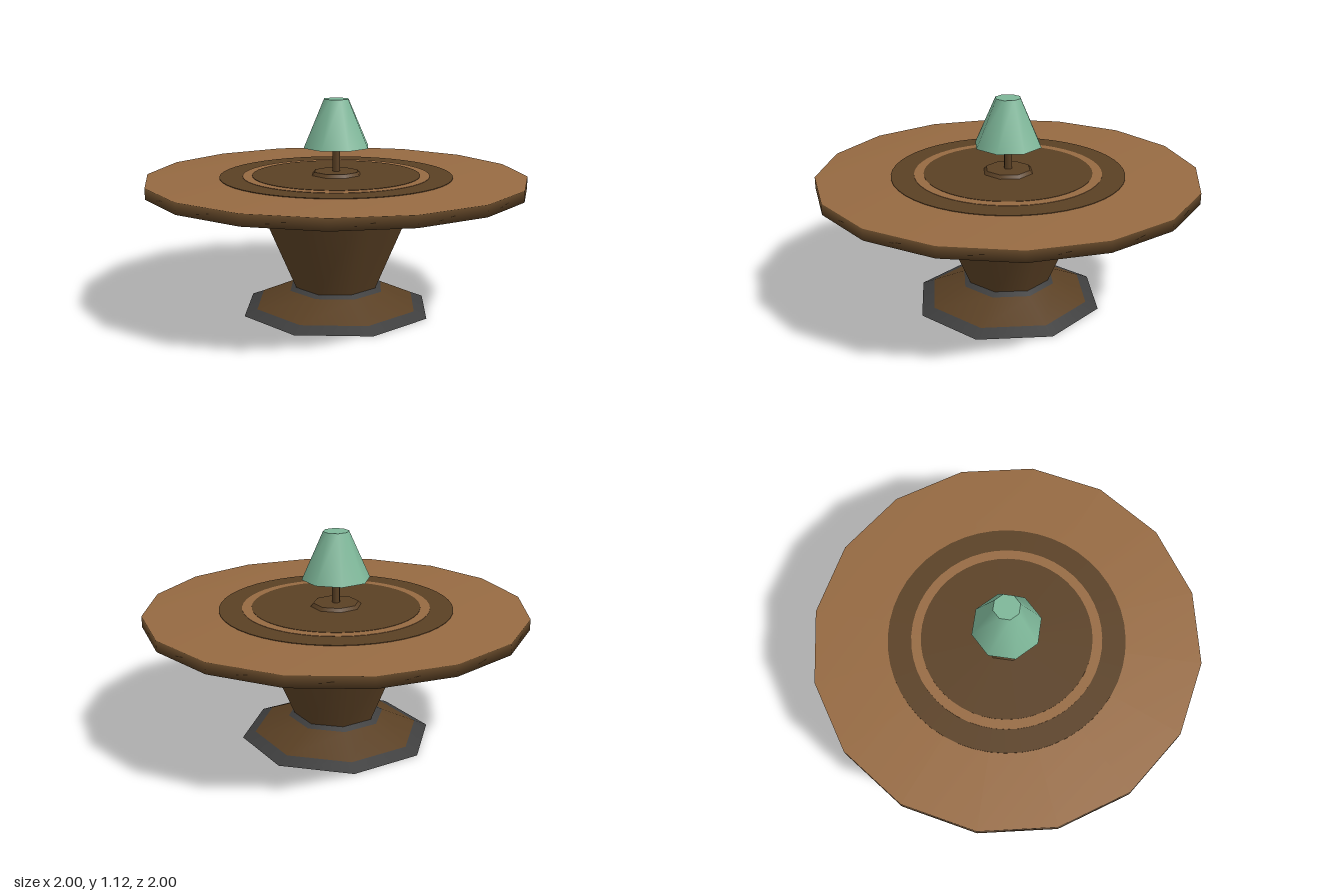
import * as THREE from 'three';
import { mergeVertices } from 'three/addons/utils/BufferGeometryUtils.js';

export function createModel() {
  const model = new THREE.Group();
  model.name = 'pedestalTableWithLamp';

  const mat = (name, color, side = THREE.FrontSide) => {
    const m = new THREE.MeshStandardMaterial({ color, side });
    m.name = name;
    return m;
  };
  const lightWood = mat('lightWood', 0x966a42);
  const darkWood = mat('darkWood', 0x5a4024, THREE.DoubleSide);
  const greyTrim = mat('greyTrim', 0x3e3e3e, THREE.DoubleSide);
  const greenShade = mat('greenShade', 0x7db698, THREE.DoubleSide);

  // Upright frustum between two heights, with corners on the x and z axes
  const frustum = (name, material, r0, y0, r1, y1, sides = 8, open = false) => {
    const geo = new THREE.CylinderGeometry(r1, r0, y1 - y0, sides, 1, open);
    const mesh = new THREE.Mesh(geo, material);
    mesh.name = name;
    mesh.position.y = (y0 + y1) / 2;
    model.add(mesh);
    return mesh;
  };

  // Flared foot: an open cone with trim bands at the floor and the neck
  const footBands = [
    ['footFloorTrim', greyTrim, 0.515, 0, 0.445, 0.03],
    ['foot', darkWood, 0.445, 0.03, 0.26, 0.112],
    ['footNeckTrim', greyTrim, 0.26, 0.112, 0.225, 0.13],
  ];
  for (const band of footBands) frustum(...band, 8, true).scale.z = 0.98;

  // Tapered pedestal
  frustum('pedestal', darkWood, 0.225, 0.125, 0.455, 0.66);

  // Tabletop with softened edge shading: rim, top, underside
  const table = frustum('tabletop', [darkWood, lightWood, darkWood], 1, 0.66, 1, 0.718, 16);
  table.geometry.deleteAttribute('normal');
  table.geometry.deleteAttribute('uv');
  table.geometry = mergeVertices(table.geometry);
  table.geometry.computeVertexNormals();

  // Inlaid rings, as thin stacked plates
  frustum('outerInlay', darkWood, 0.61, 0.717, 0.61, 0.721, 48);
  frustum('lightInlay', lightWood, 0.49, 0.718, 0.49, 0.723, 48);
  frustum('centreInlay', darkWood, 0.44, 0.72, 0.44, 0.725, 48);

  // Table lamp
  frustum('lampBase', darkWood, 0.137, 0.722, 0.12, 0.742);
  frustum('lampStem', darkWood, 0.021, 0.74, 0.021, 1.0);
  frustum('lampShade', greenShade, 0.18, 0.87, 0.068, 1.12, 8, true);
  frustum('lampShadeTop', greenShade, 0.068, 1.116, 0.068, 1.12);

  return model;
}
